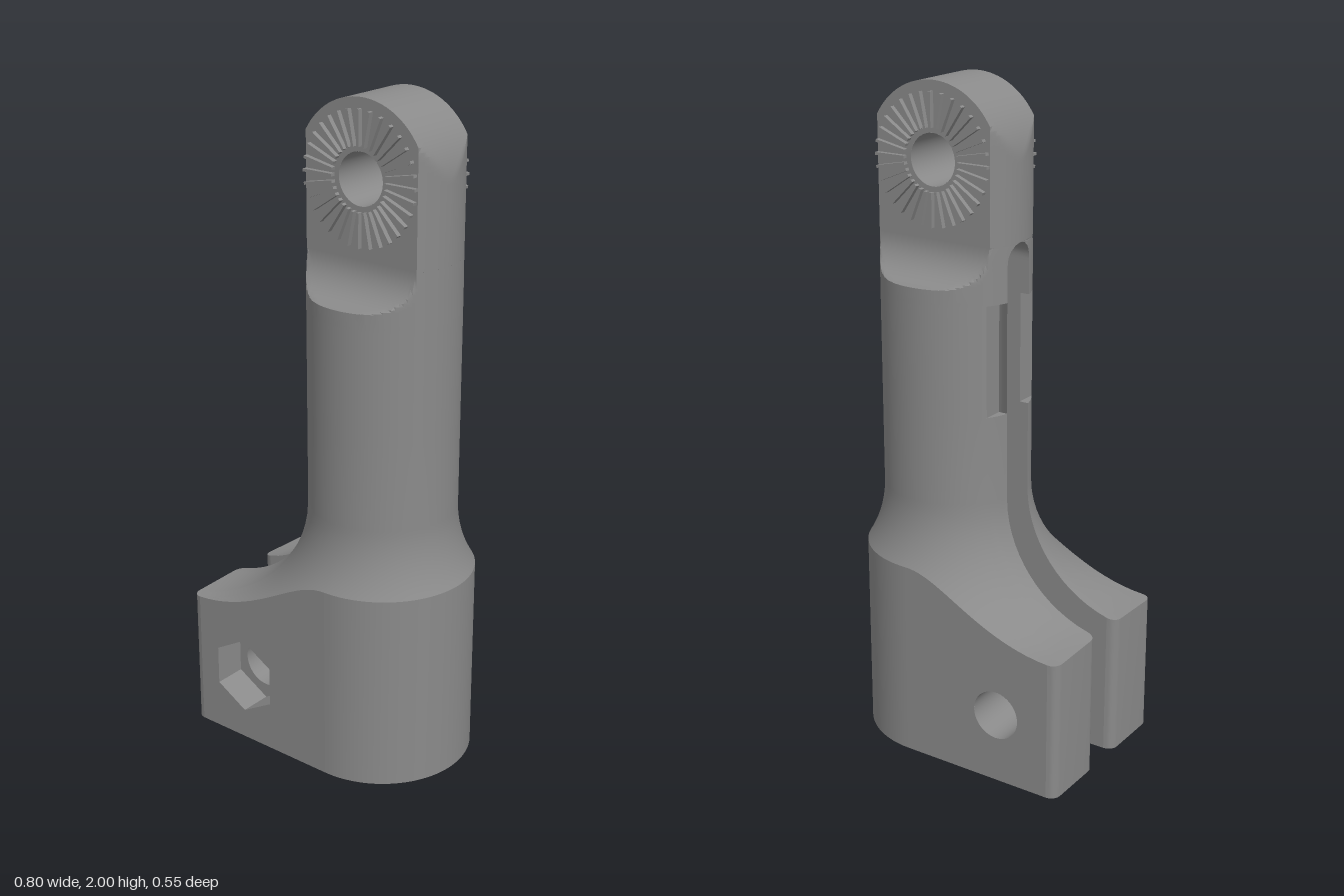
import * as THREE from 'three';
import { toCreasedNormals } from 'three/addons/utils/BufferGeometryUtils.js';

const AX = 0.125;          // x of the column axis
const R = 0.22;            // column radius
const SLOT = 0.055;        // half width of the clamp slot
const BASE = 0.275;        // half depth of the base
const EYE_Y = 1.78, HOLE = 0.075;
const BOLT = [-0.195, 0.215];

// Surface through rows of points; skip(row, i) leaves quads out
function sheet(rows, skip = () => false) {
  const n = rows[0].length, index = [];
  for (let k = 0; k < rows.length - 1; k++) {
    for (let i = 0; i < n - 1; i++) {
      if (skip(k, i)) continue;
      const a = k * n + i, b = a + n;
      index.push(a, b, a + 1, a + 1, b, b + 1);
    }
  }
  const g = new THREE.BufferGeometry();
  g.setAttribute('position', new THREE.Float32BufferAttribute(rows.flat(2), 3));
  g.setIndex(index);
  return toCreasedNormals(g, 0.5);
}

// Point on a circle about the column axis; psi runs 0 (slot edge) to PI (+x side)
function onCircle(r, psi, w = SLOT) {
  const a = Math.asin(w / r), h = Math.PI / 2;
  const t = psi < h ? a + (psi / h) * (h - a) : psi;
  return [AX - r * Math.cos(t), r * Math.sin(t)];
}

// Height of the concave flare between base and column
const flare = (x, z) => {
  const d = 0.59 - Math.hypot(x - AX, z);
  return 0.8 - Math.sqrt(Math.max(0, 0.37 ** 2 - d * d));
};

// Stations round the base: outline point, angle and side of each
function makeStations() {
  const c = 0.03, back = [], half = [];
  for (let i = 0; i <= 5; i++) {
    const t = (i / 5) * Math.PI / 2;
    back.push([-0.37 - c * Math.sin(t), SLOT + c - c * Math.cos(t)]);
  }
  for (let i = 0; i <= 5; i++) {
    const t = (i / 5) * Math.PI / 2;
    back.push([-0.37 - c * Math.cos(t), BASE - c + c * Math.sin(t)]);
  }
  for (let i = 1; i < 14; i++) back.push([-0.37 + 0.495 * i / 14, BASE]);
  back.forEach(([x, z], i) => half.push({ x, z, psi: (i / back.length) * Math.PI / 2, side: 1 }));
  for (let i = 0; i <= 24; i++) {
    const psi = Math.PI / 2 * (1 + i / 24);
    half.push({ x: AX - BASE * Math.cos(psi), z: BASE * Math.sin(psi), psi, side: 1 });
  }
  return half.concat(half.slice(0, -1).reverse().map((s) => ({ ...s, side: -1 })));
}

export function createModel() {
  const model = new THREE.Group();
  const grey = new THREE.MeshStandardMaterial({ color: 0x8a8a8a, side: THREE.DoubleSide });
  grey.name = 'grey';
  const add = (name, geometry, parent = model) => {
    const m = new THREE.Mesh(geometry, grey);
    m.name = name;
    parent.add(m);
    return m;
  };
  const circleHole = (x, y) => new THREE.Path().absarc(x, y, HOLE, 0, Math.PI * 2, true);
  const plate = (name, points, z, holes = []) => {
    const s = new THREE.Shape(points.map(([x, y]) => new THREE.Vector2(x, y)));
    s.holes.push(...holes);
    add(name, new THREE.ShapeGeometry(s, 32).translate(0, 0, z));
  };
  const tube = (name, r, x, y, z0, z1, sides = 40) => {
    let g = new THREE.CylinderGeometry(r, r, z1 - z0, sides, 1, true).rotateX(Math.PI / 2);
    if (sides < 8) { g = g.toNonIndexed(); g.computeVertexNormals(); }
    add(name, g.translate(x, y, (z0 + z1) / 2));
  };

  // Column, flare, base and bore swept round the stations
  const stations = makeStations();
  const ring = (r, y, notch = false) => stations.map((s) => {
    const [x, z] = onCircle(r, s.psi);
    return [notch ? Math.max(x, -0.06) : x, y, z * s.side];
  });
  const rows = [ring(R, 1.4), ring(R, 1.39), ring(R, 1.39, true), ring(R, 1.06, true), ring(R, 1.06), ring(R, 0.8)];
  for (let j = 1; j <= 14; j++) {
    const f = (j / 14) ** 1.8;
    rows.push(stations.map((s) => {
      const [ix, iz] = onCircle(R, s.psi);
      const x = ix + (s.x - ix) * f, z = iz + (s.z - iz) * f;
      return [x, flare(x, z), z * s.side];
    }));
  }
  const wallRow = rows.length - 1;
  rows.push(stations.map((s) => [s.x, 0, s.z * s.side]));
  rows.push(ring(0.17, 0), ring(0.17, 0.1), ring(0.15, 0.1), ring(0.15, 1.4));
  const flat = (s) => s.z > BASE - 1e-6;
  add('clampBody', sheet(rows, (k, i) => k === wallRow && flat(stations[i]) && flat(stations[i + 1])));
  add('boreCeiling', new THREE.CircleGeometry(0.15, 48).rotateX(Math.PI / 2).translate(AX, 1.4, 0));

  // Slot walls and flat jaw sides, with the bolt hole and nut recess
  const profile = rows.map((r) => [r[0][0], r[0][1]]);
  const side = [[-0.37, 0], [AX, 0]];
  for (let i = 28; i >= 0; i--) {
    const x = -0.37 + 0.495 * i / 28;
    side.push([x, flare(x, BASE)]);
  }
  const hex = [];
  for (let i = 0; i < 6; i++) {
    const t = Math.PI / 2 + i * Math.PI / 3;
    hex.push([BOLT[0] + 0.121 * Math.cos(t), BOLT[1] + 0.121 * Math.sin(t)]);
  }
  const hexPath = new THREE.Path(hex.map(([x, y]) => new THREE.Vector2(x, y)));
  for (const s of [1, -1]) {
    plate('slotWall', profile, s * SLOT, [circleHole(...BOLT)]);
    plate('jawSide', side, s * BASE, [s > 0 ? hexPath : circleHole(...BOLT)]);
  }
  plate('nutSeat', hex, 0.175, [circleHole(...BOLT)]);
  tube('nutRecess', 0.121, ...BOLT, 0.175, BASE, 6);
  tube('boltHoleFront', HOLE, ...BOLT, SLOT, 0.175);
  tube('boltHoleBack', HOLE, ...BOLT, -BASE, -SLOT);

  // Shoulder: column end scooped into the tongue, with the arched slot end
  const levels = [[1.4, R]];
  for (let i = 0; i <= 12; i++) {
    const t = (i / 12) * Math.PI / 2;
    levels.push([1.55 - 0.11 * Math.cos(t), R - 0.11 * Math.sin(t)]);
  }
  levels.push([1.555, 0.11]);
  add('shoulder', sheet(levels.map(([y, h]) => {
    const w = y < 1.5 ? SLOT : Math.sqrt(Math.max(1e-8, SLOT ** 2 - (y - 1.5) ** 2));
    const half = [[AX - 0.14, y, w]];
    for (let i = 0; i <= 60; i++) {
      const [x, z] = onCircle(R, (i / 60) * Math.PI, w);
      half.push([x, y, Math.min(z, h)]);
    }
    const other = half.map(([x, yy, z]) => [x, yy, -z]).reverse();
    return [...half, ...other, half[0]];
  })));
  add('slotEnd', new THREE.PlaneGeometry(2 * SLOT, 0.15).rotateY(-Math.PI / 2).translate(AX - 0.14, 1.475, 0));

  // Tongue: round-topped eye trimmed to the column's curve
  const outline = (z) => {
    const a = Math.sqrt(R * R - z * z), pts = [[-R, 1.555], [R, 1.555]];
    for (let i = 0; i <= 48; i++) {
      const t = (i / 48) * Math.PI;
      pts.push([R * Math.cos(t), EYE_Y + R * Math.sin(t)]);
    }
    return pts.map(([x, y]) => [AX + Math.max(-a, Math.min(a, x)), y]);
  };
  const slices = [];
  for (let i = 0; i <= 16; i++) {
    const z = -0.11 + 0.22 * i / 16, o = outline(z);
    slices.push([...o, o[0]].map(([x, y]) => [x, y, z]));
  }
  add('tongue', sheet(slices));
  tube('eyeHole', HOLE, AX, EYE_Y, -0.11, 0.11);

  // Radial locking teeth on both faces
  for (const s of [1, -1]) {
    plate('tongueFace', outline(0.11), s * 0.11, [circleHole(AX, EYE_Y)]);
    const teeth = new THREE.Group();
    teeth.name = 'teeth';
    teeth.position.set(AX, EYE_Y, s * 0.1165);
    model.add(teeth);
    const tooth = new THREE.BoxGeometry(0.1, 0.008, 0.017).translate(0.14, 0, 0);
    for (let i = 0; i < 32; i++) add('tooth', tooth, teeth).rotation.z = (i / 32) * Math.PI * 2;
  }
  return model;
}
